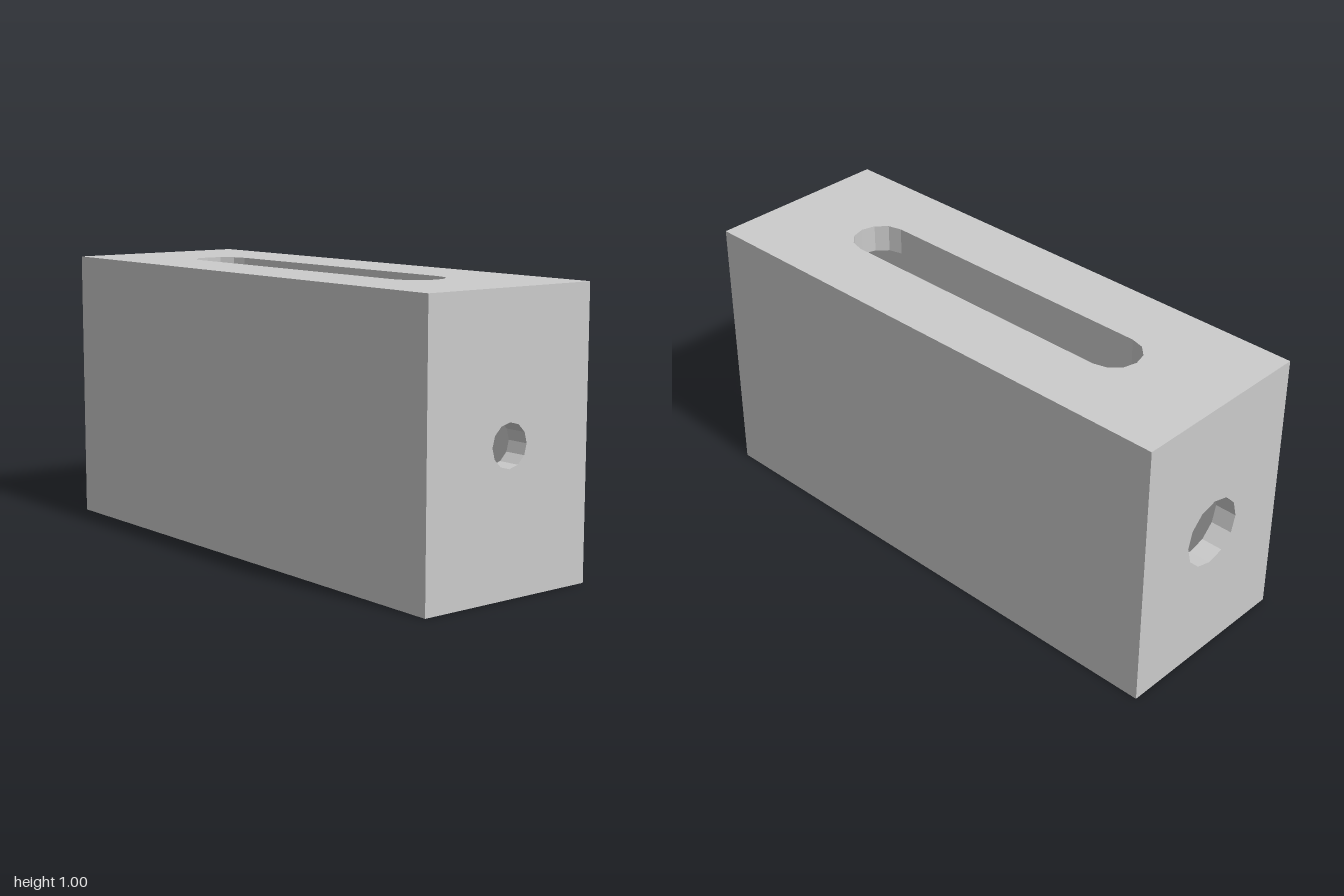
import * as THREE from 'three';

const W = 0.7, H = 1, L = 2;        // outer size
const WALL = 0.08, TOP = 0.1;       // wall and top thickness
const INNER_H = H - TOP;

const material = new THREE.MeshStandardMaterial({ color: 0xcccccc, flatShading: true });

function rectangle(w, h) {
  const x = w / 2, y = h / 2;
  return new THREE.Shape([
    new THREE.Vector2(-x, -y), new THREE.Vector2(x, -y),
    new THREE.Vector2(x, y), new THREE.Vector2(-x, y),
  ]);
}

// Closed outline of a round-ended slot; a zero straight length gives a circle.
function slot(radius, straight, cy = 0, half = 6) {
  const points = [];
  for (const end of [0, 1]) {
    for (let i = 0; i <= half; i++) {
      if (straight === 0 && i === half) continue;
      const a = Math.PI * (end + i / half);
      const y = cy + (end ? -1 : 1) * straight / 2;
      points.push(new THREE.Vector2(radius * Math.cos(a), y + radius * Math.sin(a)));
    }
  }
  return new THREE.Path(points);
}

function plate(name, shape, depth) {
  const geometry = new THREE.ExtrudeGeometry(shape, { depth, bevelEnabled: false });
  geometry.translate(0, 0, -depth / 2);
  const mesh = new THREE.Mesh(geometry, material);
  mesh.name = name;
  return mesh;
}

export function createModel() {
  const group = new THREE.Group();
  group.name = 'slottedHousing';

  // Top plate with a long slot
  const topShape = rectangle(W, L);
  topShape.holes.push(slot(0.1, 1.1));
  const top = plate('topPlate', topShape, TOP);
  top.rotation.x = -Math.PI / 2;
  top.position.y = H - TOP / 2;
  group.add(top);

  // End walls: small hole in front, larger hole behind, both at mid-height
  for (const [name, side, radius] of [['frontWall', 1, 0.075], ['backWall', -1, 0.125]]) {
    const shape = rectangle(W, INNER_H);
    shape.holes.push(slot(radius, 0, H / 2 - INNER_H / 2));
    const wall = plate(name, shape, WALL);
    wall.position.set(0, INNER_H / 2, side * (L - WALL) / 2);
    group.add(wall);
  }

  // Plain side walls; the underside stays open
  for (const [name, side] of [['leftWall', 1], ['rightWall', -1]]) {
    const wall = new THREE.Mesh(new THREE.BoxGeometry(WALL, INNER_H, L - 2 * WALL), material);
    wall.name = name;
    wall.position.set(side * (W - WALL) / 2, INNER_H / 2, 0);
    group.add(wall);
  }

  return group;
}
